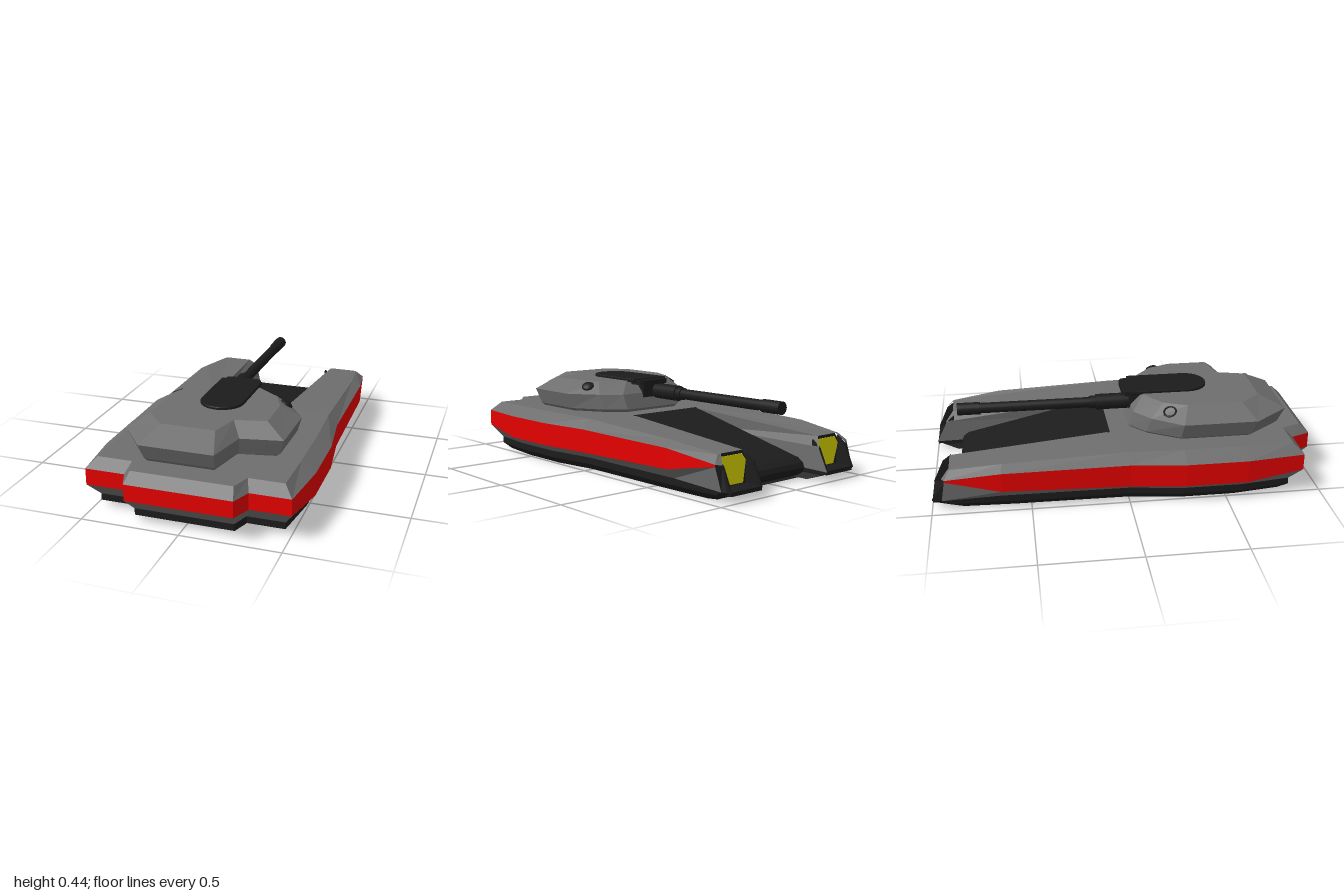
import * as THREE from 'three';

const paint = (name, color) => {
  const m = new THREE.MeshStandardMaterial({ color });
  m.name = name;
  return m;
};

export function createModel() {
  const grey = paint('hull grey', 0x6e6e6e);
  const red = paint('stripe red', 0xe40000);
  const black = paint('near black', 0x1c1c1c);
  const yellow = paint('exhaust yellow', 0xdcd800);
  const green = paint('belly green', 0x00d09e);
  const model = new THREE.Group();

  const add = (name, geometry, material, parent = model) => {
    const mesh = new THREE.Mesh(geometry, material);
    mesh.name = name;
    parent.add(mesh);
    return mesh;
  };
  const faceted = (points) => {
    const g = new THREE.BufferGeometry().setFromPoints(points);
    g.computeVertexNormals();
    return g;
  };
  const V = (x, y, z) => new THREE.Vector3(x, y, z);

  // Wall between neighbouring rings, limited to chosen segments
  const walls = (rings, keep = () => true) => {
    const out = [];
    for (let r = 0; r < rings.length - 1; r++) {
      const lo = rings[r], hi = rings[r + 1];
      lo.forEach((p, i) => {
        if (!keep(i)) return;
        const j = (i + 1) % lo.length;
        out.push(p, lo[j], hi[j], p, hi[j], hi[i]);
      });
    }
    return faceted(out);
  };
  // Cap over a ring, facing up or down
  const cap = (ring, up = true) => {
    const flat = ring.map((p) => new THREE.Vector2(p.x, -p.z));
    const out = [];
    for (const [a, b, c] of THREE.ShapeUtils.triangulateShape(flat, [])) {
      out.push(ring[a], ring[up ? b : c], ring[up ? c : b]);
    }
    return faceted(out);
  };
  const mirrored = (half) => [...half, ...half.map((p) => V(-p.x, p.y, p.z)).reverse()];
  const shapeOf = (pts) => new THREE.Shape(pts.map(([a, b]) => new THREE.Vector2(a, b)));
  // Side profile in (z, y), extruded across x and centred on cx
  const sideExtrude = (pts, width, cx = 0) =>
    new THREE.ExtrudeGeometry(shapeOf(pts), { depth: width, bevelEnabled: false })
      .rotateY(-Math.PI / 2).translate(cx + width / 2, 0, 0);

  // Half outline, nose to slot: band x, z, low y, high y; top x, z, y; base x, z
  const half = [
    [0.27, 1.0, 0.135, 0.22, 0.255, 0.95, 0.27, 0.25, 0.93],
    [0.31, 0.9, 0.135, 0.22, 0.29, 0.85, 0.27, 0.28, 0.84],
    [0.515, 0.9, 0.135, 0.22, 0.47, 0.85, 0.27, 0.47, 0.84],
    [0.55, 0.6, 0.1, 0.22, 0.475, 0.6, 0.27, 0.505, 0.58],
    [0.55, 0.28, 0.1, 0.22, 0.475, 0.28, 0.27, 0.505, 0.28],
    [0.515, 0.0, 0.1, 0.22, 0.465, 0.0, 0.27, 0.465, 0.0],
    [0.51, -0.65, 0.115, 0.215, 0.46, -0.64, 0.245, 0.46, -0.65],
    [0.47, -0.93, 0.165, 0.175, 0.43, -0.905, 0.213, 0.45, -0.95],
    [0.44, -0.945, 0.16, 0.17, 0.41, -0.905, 0.215, 0.43, -1.0],
    [0.23, -0.945, 0.16, 0.17, 0.27, -0.905, 0.215, 0.23, -1.0],
    [0.23, -0.07, 0.16, 0.17, 0.22, -0.07, 0.27, 0.23, -0.07],
  ];
  const ring = (f) => mirrored(half.map(f));
  const base = ring((h) => V(h[7], h[8] < -0.9 ? 0.05 : 0.065, h[8]));
  const low = ring((h) => V(h[0], h[2], h[1]));
  const high = ring((h) => V(h[0], h[3], h[1]));
  const top = ring((h) => V(h[4], h[6], h[5]));
  const skirt = ring((h) => V(h[7], 0.03, h[8] * (h[8] < 0 ? 0.96 : 1)));
  const belly = ring((h, i) =>
    V(h[7] * 0.95, 0, i === 10 ? -0.83 : h[8] * (h[8] < 0 ? 0.885 : 0.94)));

  // Hull layers: exhaust ends left open, prong corners black
  const closed = (i) => i !== 8 && i !== 12;
  const corner = (i) => i === 7 || i === 13;
  const striped = (i) => i < 7 || i > 13;
  const plain = (i) => closed(i) && !corner(i);
  add('lowerHull', walls([base, low], plain), grey);
  add('sideStripe', walls([low, high], striped), red);
  add('slotWalls', walls([low, high], (i) => plain(i) && !striped(i)), grey);
  add('prongCorners', walls([base, low, high], corner), black);
  add('upperBevel', walls([high, top], closed), grey);
  add('hullTop', cap(top), grey);
  add('skirt', walls([belly, skirt, base]), black);
  add('belly', cap(belly, false), green);

  // Sloping rear deck between the prongs
  add('rearDeck', sideExtrude([
    [-0.07, 0.272], [-0.07, 0.01], [-0.82, 0.01], [-0.85, 0.03],
    [-0.86, 0.055], [-0.85, 0.08], [-0.82, 0.1],
  ], 0.452), black);

  // Recessed exhausts, outlines in (x, y)
  const rim = [[0.235, 0.04], [0.44, 0.04], [0.45, 0.165], [0.41, 0.213], [0.27, 0.213], [0.235, 0.165]];
  const glow = [[0.262, 0.06], [0.4, 0.06], [0.432, 0.16], [0.405, 0.198], [0.272, 0.198], [0.246, 0.165]];
  for (const side of [1, -1]) {
    const exhaust = new THREE.Group();
    exhaust.name = side > 0 ? 'leftExhaust' : 'rightExhaust';
    model.add(exhaust);
    const plate = (name, pts, depth, z, mat) => {
      const shape = shapeOf(pts.map(([x, y]) => [x * side, y]));
      add(name, new THREE.ExtrudeGeometry(shape, { depth, bevelEnabled: false }), mat, exhaust)
        .position.z = z;
    };
    plate('exhaustRim', rim, 0.015, -0.9, black);
    plate('exhaustGlow', glow, 0.004, -0.904, yellow);
    add('exhaustLedge', new THREE.BoxGeometry(0.2, 0.02, 0.1), black, exhaust)
      .position.set(0.333 * side, 0.045, -0.945);
    for (const x of [0.237, 0.434]) {
      add('exhaustCheek', sideExtrude([[-0.9, 0.2], [-0.9, 0.05], [-0.998, 0.05], [-0.945, 0.165]], 0.012, x * side), black, exhaust);
    }
  }

  // Turret with a notch in its front left corner
  const turretMid = [[-0.25, 0.865], [0.13, 0.865], [0.18, 0.645], [0.39, 0.605], [0.395, 0.295],
    [0.29, 0.14], [0.19, 0.06], [-0.19, 0.06], [-0.29, 0.14], [-0.395, 0.295], [-0.395, 0.68]];
  const turretTop = [[-0.19, 0.73], [0.09, 0.73], [0.13, 0.58], [0.29, 0.545], [0.29, 0.33],
    [0.24, 0.21], [0.12, 0.12], [-0.12, 0.12], [-0.24, 0.21], [-0.29, 0.33], [-0.29, 0.62]];
  const level = (pts, y) => pts.map(([x, z]) => V(x, y, z));
  const tMid = level(turretMid, 0.365), tTop = level(turretTop, 0.43);
  const tLow = tMid.map((p) => V(p.x * 0.94, 0.285, p.z < 0.2 ? p.z - 0.025 : p.z * 0.96));
  const tBase = tLow.map((p) => V(p.x * 0.93, 0.265, p.z * 0.96 + 0.02));
  const turret = new THREE.Group();
  turret.name = 'turret';
  model.add(turret);
  add('turretSides', walls([tBase, tLow, tMid, tTop]), grey, turret);
  add('turretRoof', cap(tTop), grey, turret);

  // Roof plate with rounded front
  const plateShape = new THREE.Shape();
  plateShape.moveTo(-0.107, -0.07);
  plateShape.lineTo(-0.107, -0.37);
  plateShape.absarc(0, -0.37, 0.107, Math.PI, Math.PI * 2, false);
  plateShape.lineTo(0.107, -0.07);
  add('roofPlate', new THREE.ExtrudeGeometry(plateShape, {
    depth: 0.012, bevelThickness: 0.005, bevelSize: 0.006, bevelSegments: 2, curveSegments: 14,
  }).rotateX(-Math.PI / 2), black, turret).position.y = 0.428;
  // Tapered hood over the gun mount
  add('mantletHood', new THREE.ExtrudeGeometry(
    shapeOf([[-0.1, -0.1], [0.1, -0.1], [0.095, -0.03], [0.07, -0.015], [-0.07, -0.015], [-0.095, -0.03]]),
    { depth: 0.025, bevelEnabled: false },
  ).rotateX(-Math.PI / 2), black, turret).position.y = 0.412;
  add('gunMount', new THREE.BoxGeometry(0.15, 0.08, 0.1), black, turret).position.set(-0.02, 0.38, 0.1);

  // Gun, pointing over the rear deck
  const gun = new THREE.Group();
  gun.name = 'gun';
  gun.position.set(-0.05, 0.37, 0);
  turret.add(gun);
  const tube = (name, r, z0, z1) =>
    add(name, new THREE.CylinderGeometry(r, r, z0 - z1, 20).rotateX(Math.PI / 2), black, gun)
      .position.z = (z0 + z1) / 2;
  tube('gunSleeve', 0.042, 0.1, -0.125);
  tube('gunCollar', 0.034, -0.125, -0.16);
  tube('gunBarrel', 0.028, -0.16, -0.75);
  tube('gunMuzzle', 0.033, -0.74, -0.86);

  // Roof sights: solid lens on one side, open ring on the other
  const sight = (name, side, geometry) => {
    const mesh = add(name, geometry, black, turret);
    mesh.position.set(0.297 * side, 0.403, 0.235);
    mesh.quaternion.setFromUnitVectors(V(0, 1, 0), V(0.45 * side, 0.85, -0.29).normalize());
  };
  sight('leftSight', 1, new THREE.SphereGeometry(0.034, 16, 10).scale(1, 0.5, 1));
  sight('rightSightRing', -1, new THREE.TorusGeometry(0.031, 0.005, 6, 20).rotateX(Math.PI / 2));

  return model;
}
